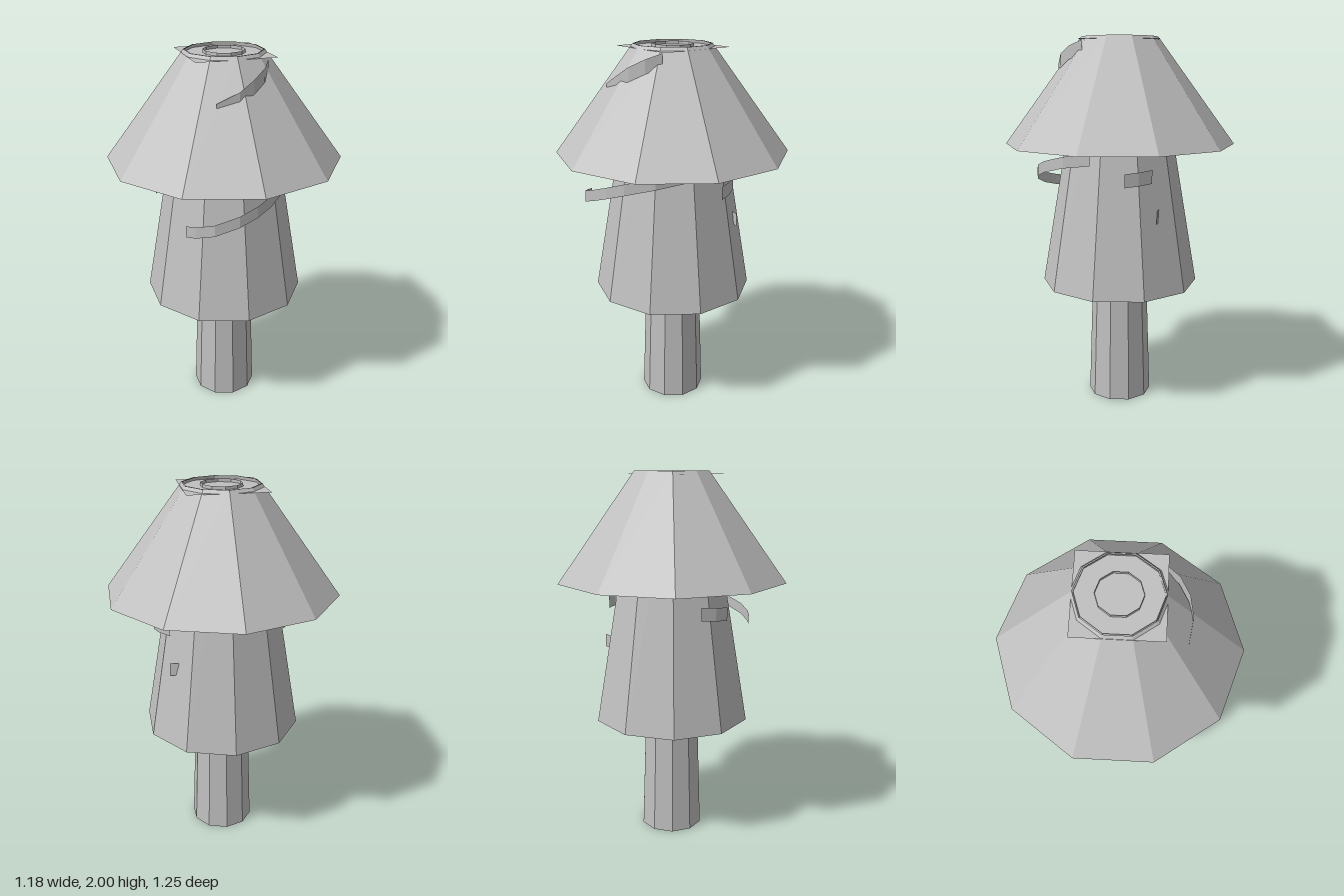
import * as THREE from 'three';

export function createModel() {
  const group = new THREE.Group();
  const grey = new THREE.MeshStandardMaterial({ color: 0xc0c0c0, flatShading: true, side: THREE.DoubleSide });
  grey.name = 'plain grey';

  const add = (name, geometry, y = 0) => {
    const mesh = new THREE.Mesh(geometry, grey);
    mesh.name = name;
    mesh.position.y = y;
    group.add(mesh);
    return mesh;
  };

  // Open ten-sided tapering shell between two heights
  const shell = (name, rTop, rBottom, y0, y1) =>
    add(name, new THREE.CylinderGeometry(rTop, rBottom, y1 - y0, 10, 1, true), (y0 + y1) / 2);

  shell('trunk', 0.108, 0.174, 0, 2);
  shell('lowerFoliage', 0.198, 0.43, 0.665, 2);
  shell('upperFoliage', 0.204, 0.6225, 1.435, 2);

  // Flat square plate just under the top rim
  add('topPlate', new THREE.PlaneGeometry(0.414, 0.414).rotateX(-Math.PI / 2), 1.984);

  // Upright band following a path of centre points
  const ribbon = (name, points, height = 0.07) => {
    const positions = [];
    const index = [];
    points.forEach(([x, y, z], i) => {
      positions.push(x, y - height / 2, z, x, y + height / 2, z);
      if (i > 0) {
        const a = 2 * (i - 1);
        index.push(a, a + 2, a + 3, a, a + 3, a + 1);
      }
    });
    const geometry = new THREE.BufferGeometry();
    geometry.setAttribute('position', new THREE.Float32BufferAttribute(positions, 3));
    geometry.setIndex(index);
    geometry.computeVertexNormals();
    add(name, geometry);
  };

  // Garland: the stretches that come out of the foliage
  ribbon('garlandFront', [
    [-0.305, 1.185, 0.33], [-0.27, 1.195, 0.38], [-0.19, 1.22, 0.44], [-0.07, 1.26, 0.463],
    [0.03, 1.293, 0.445], [0.12, 1.323, 0.4], [0.235, 1.36, 0.29], [0.285, 1.378, 0.15],
  ], 0.06);
  ribbon('garlandTop', [
    [-0.14, 1.775, 0.315], [-0.03, 1.825, 0.33], [0.05, 1.875, 0.31], [0.12, 1.915, 0.26], [0.165, 1.943, 0.19],
  ]);
  ribbon('garlandUpperLeft', [
    [-0.36, 1.395, 0.1], [-0.33, 1.41, 0.2], [-0.25, 1.44, 0.29], [-0.12, 1.48, 0.35],
  ], 0.05);
  for (const side of [-1, 1]) {
    ribbon(side > 0 ? 'garlandSideLeft' : 'garlandSideRight',
      [[side * 0.37, 1.285, -0.03], [side * 0.345, 1.29, -0.1], [side * 0.3, 1.297, -0.17]]);
  }
  ribbon('garlandEnd', [[0.25, 1.085, -0.21], [0.31, 1.085, -0.195]]);

  return group;
}
